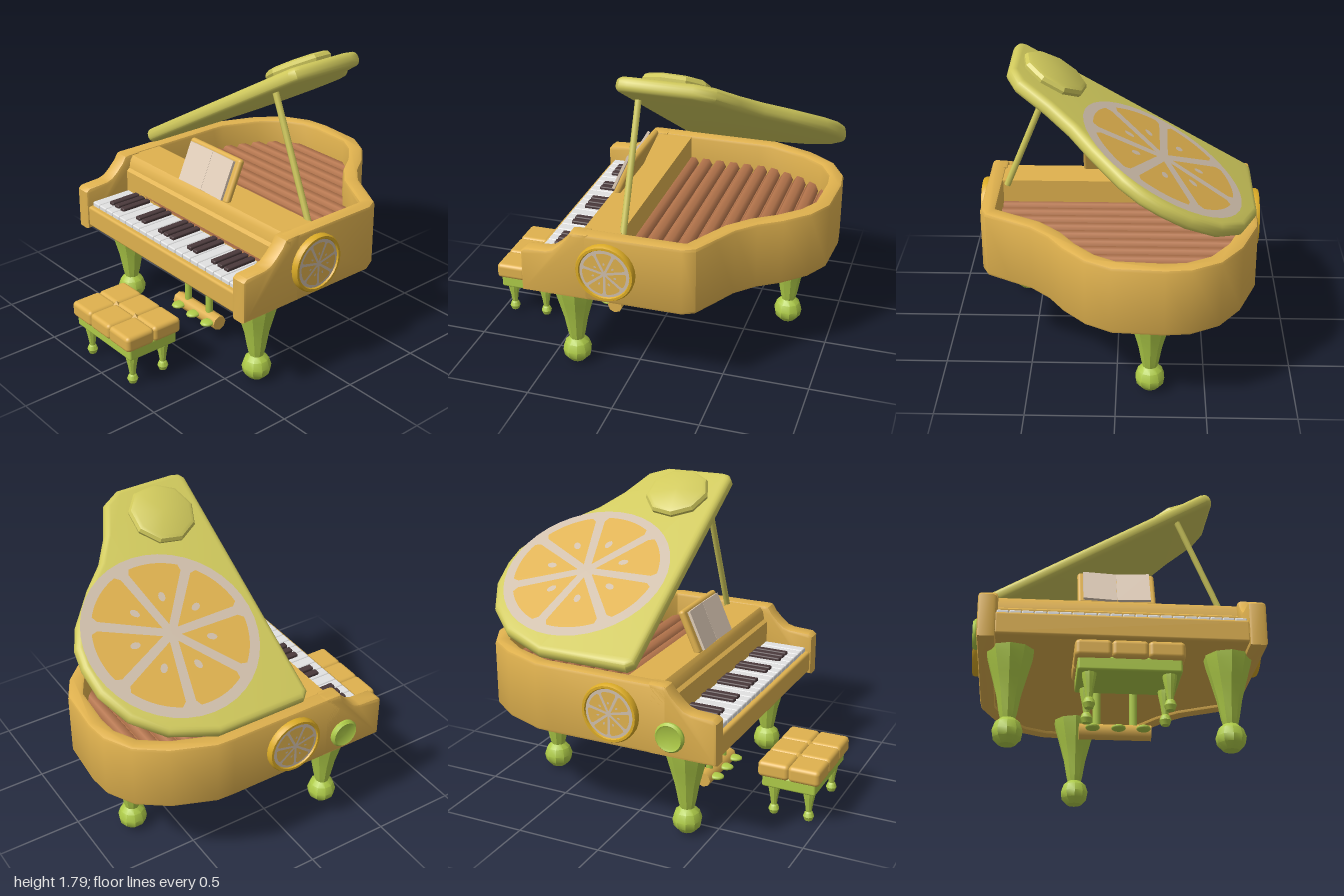
import * as THREE from 'three';
import { toCreasedNormals } from 'three/addons/utils/BufferGeometryUtils.js';
import { RoundedBoxGeometry } from 'three/addons/geometries/RoundedBoxGeometry.js';

const mat = (name, color) => Object.assign(new THREE.MeshStandardMaterial({ color }), { name });
const M = {
  gold: mat('orange gold', 0xdfb14e),
  lime: mat('lime green', 0xaecb48),
  lid: mat('lemon', 0xd0c95c),
  rind: mat('rind yellow', 0xdcac26),
  pith: mat('pith', 0xd0bfab),
  white: mat('ivory white', 0xe2e2e2),
  black: mat('dark brown', 0x4a393b),
  page: mat('paper', 0xe0cdb9),
  slat: mat('slat brown', 0xb5754c),
};

// Case outline as [x, z], from the front of the left side round the tail to the right side
const CASE = [[0.78, 0.3], [0.78, -0.33], [0.745, -0.4], [0.61, -0.475], [0.48, -0.545], [0.375, -0.645],
  [0.29, -0.77], [0.165, -0.9], [0.02, -0.98], [-0.26, -1], [-0.4, -0.985], [-0.56, -0.9],
  [-0.68, -0.74], [-0.775, -0.5], [-0.78, -0.4], [-0.78, 0.3]];
// Lid outline as [distance from hinge, z]
const LID = [[0.04, 0.1], [1.51, 0.1], [1.545, 0.075], [1.555, 0.03], [1.55, -0.33], [1.487, -0.44], [1.3, -0.53],
  [1.15, -0.635], [1.025, -0.767], [0.84, -0.926], [0.72, -0.985], [0.6, -1], [0.436, -0.985], [0.25, -0.9],
  [0.1, -0.74], [0, -0.48], [0, 0.06]];

function inset(pts, d) {
  return pts.map((p, i) => {
    const a = pts[Math.max(i - 1, 0)], b = pts[Math.min(i + 1, pts.length - 1)];
    const tx = b[0] - a[0], tz = b[1] - a[1], l = Math.hypot(tx, tz);
    return [p[0] + (tz / l) * d, p[1] - (tx / l) * d];
  });
}

function add(parent, name, geo, material, x = 0, y = 0, z = 0) {
  const m = new THREE.Mesh(geo, material);
  m.name = name;
  m.position.set(x, y, z);
  parent.add(m);
  return m;
}

function extrude(pts, depth, bevel, segments) {
  const shape = new THREE.Shape(pts.map(([a, b]) => new THREE.Vector2(a, b)));
  const g = new THREE.ExtrudeGeometry(shape, {
    depth: depth - 2 * bevel, bevelEnabled: bevel > 0, bevelThickness: bevel,
    bevelSize: bevel, bevelOffset: -bevel, bevelSegments: segments,
  });
  return toCreasedNormals(g.translate(0, 0, bevel), 0.65);
}
// Plan outline [x, z] raised along y
const slab = (pts, h, bevel = 0, seg = 2) => extrude(pts.map(([x, z]) => [x, -z]), h, bevel, seg).rotateX(-Math.PI / 2);
// Side profile [z, y] stretched along x
const profile = (pts, w, bevel = 0, seg = 2) => extrude(pts.map(([z, y]) => [-z, y]), w, bevel, seg).rotateY(Math.PI / 2);

const lathe = (pts, sides) =>
  toCreasedNormals(new THREE.LatheGeometry(pts.map(([r, y]) => new THREE.Vector2(r, y)), sides), 0.6);

function rod(parent, name, a, b, r, material, sides = 8) {
  const va = new THREE.Vector3(...a), vb = new THREE.Vector3(...b), d = vb.clone().sub(va);
  const m = add(parent, name, new THREE.CylinderGeometry(r, r, d.length(), sides), material);
  m.position.copy(va).add(vb).multiplyScalar(0.5);
  m.quaternion.setFromUnitVectors(new THREE.Vector3(0, 1, 0), d.normalize());
  return m;
}

// Citrus slice of thin plates, facing +z
function slice(r) {
  const g = new THREE.Group();
  g.name = 'citrusSlice';
  add(g, 'pith', new THREE.CircleGeometry(r, 40), M.pith, 0, 0, 0.004);
  const half = Math.PI / 7, w = r * 0.035, ro = r * 0.88;
  const outer = half - Math.asin(w / ro) - 0.03;
  const wedge = new THREE.Shape();
  wedge.moveTo(w / Math.sin(half) + r * 0.03, 0);
  wedge.lineTo(ro * 0.93 * Math.cos(outer), -ro * 0.93 * Math.sin(outer));
  wedge.absarc(0, 0, ro, -outer + 0.05, outer - 0.05, false);
  wedge.lineTo(ro * 0.93 * Math.cos(outer), ro * 0.93 * Math.sin(outer));
  const wedgeGeo = new THREE.ShapeGeometry(wedge, 8);
  const seedGeo = new THREE.CircleGeometry(r * 0.05, 10).scale(1.2, 0.8, 1);
  for (let i = 0; i < 7; i++) {
    const a = Math.PI / 2 + i * half * 2;
    add(g, 'segment', wedgeGeo, M.gold, 0, 0, 0.008).rotation.z = a;
    add(g, 'seed', seedGeo, M.pith, Math.cos(a) * r * 0.45, Math.sin(a) * r * 0.45, 0.012).rotation.z = a;
  }
  return g;
}

export function createModel() {
  const root = new THREE.Group();
  root.name = 'grandPiano';

  // Curved rim, floor and soundboard
  const inner = inset(CASE, 0.09);
  add(root, 'rim', slab([...CASE, ...inner.slice().reverse()], 0.405, 0.02, 2), M.gold, 0, 0.53, 0);
  const floor = inset(CASE, 0.05);
  add(root, 'floor', slab(floor, 0.05), M.gold, 0, 0.55, 0);
  add(root, 'soundboard', slab(floor, 0.02), M.slat, 0, 0.71, 0);

  // Slats across the case, cut to the curve of the rim
  const crossing = (pts, z) => {
    for (let i = 1; i < pts.length; i++) {
      const [a, b] = [pts[i - 1], pts[i]];
      if ((a[1] - z) * (b[1] - z) <= 0) return a[0] + ((b[0] - a[0]) * (z - a[1])) / (b[1] - a[1] || 1);
    }
    return 0;
  };
  const back = floor.slice().reverse();
  for (let z = -0.87; z < 0.05; z += 0.09) {
    rod(root, 'slat', [crossing(back, z), 0.75, z], [crossing(floor, z), 0.75, z], 0.042, M.slat, 6);
  }

  // Stepped cheeks
  const cheek = [[0.2, 0.53], [0.6, 0.53], [0.6, 0.775], [0.575, 0.795], [0.45, 0.802], [0.41, 0.815],
    [0.374, 0.845], [0.33, 0.89], [0.305, 0.93], [0.28, 0.935], [0.2, 0.935]];
  for (const x of [-0.78, 0.68]) add(root, 'cheek', profile(cheek, 0.1, 0.018), M.gold, x, 0, 0);

  // Fallboard and key bed
  const fall = [[0.04, 0.58], [0.3, 0.58], [0.3, 0.835], [0.28, 0.85], [0.27, 0.9], [0.25, 0.925], [0.04, 0.925]];
  add(root, 'fallboard', profile(fall, 1.39), M.gold, -0.695, 0, 0);
  add(root, 'keyBed', new RoundedBoxGeometry(1.38, 0.13, 0.54, 2, 0.015), M.gold, 0, 0.615, 0.32);

  // Keyboard
  const whiteGeo = new RoundedBoxGeometry(0.0665, 0.035, 0.27, 2, 0.008);
  for (let i = 0; i < 20; i++) add(root, 'whiteKey', whiteGeo, M.white, -0.646 + i * 0.068, 0.688, 0.425);
  const blackGeo = new RoundedBoxGeometry(0.04, 0.035, 0.2, 2, 0.008);
  for (const x of [-0.57, -0.515, -0.46, -0.3, -0.245, -0.085, -0.03, 0.025, 0.185, 0.24, 0.4, 0.455, 0.51]) {
    add(root, 'blackKey', blackGeo, M.black, x, 0.706, 0.4);
  }

  // Music desk with open book
  const desk = new THREE.Group();
  desk.name = 'musicDesk';
  desk.position.set(-0.005, 0.91, 0.235);
  desk.rotation.x = -0.42;
  root.add(desk);
  add(desk, 'deskBoard', new RoundedBoxGeometry(0.45, 0.27, 0.04, 3, 0.018), M.gold, 0, 0.135, 0);
  for (const s of [-1, 1]) {
    add(desk, 'bookPage', new THREE.BoxGeometry(0.192, 0.235, 0.016), M.page, s * 0.097, 0.13, 0.028).rotation.y = -s * 0.06;
  }

  // Raised lid with slice and round cap
  const lid = new THREE.Group();
  lid.name = 'lid';
  lid.position.set(-0.735, 0.94, 0);
  lid.rotation.z = Math.PI / 6;
  root.add(lid);
  add(lid, 'lidPanel', slab(LID, 0.085, 0.035, 4), M.lid);
  const big = slice(0.497);
  big.position.set(0.612, 0.085, -0.463);
  big.rotation.x = -Math.PI / 2;
  lid.add(big);
  add(lid, 'lidCap', lathe([[0.19, 0], [0.196, 0.02], [0.185, 0.04], [0.165, 0.05], [0, 0.052]], 9), M.lid, 1.31, 0.084, -0.165);
  rod(root, 'lidProp', [0.665, 0.9, 0.035], [0.375, 1.6, 0.035], 0.019, M.lid);

  // Slices on both sides, plus a small lime disc
  for (const [s, z] of [[1, 0.095], [-1, -0.02]]) {
    const g = new THREE.Group();
    g.name = 'sideSlice';
    g.position.set(s * 0.775, 0.733, z);
    g.rotation.y = (s * Math.PI) / 2;
    root.add(g);
    add(g, 'rind', lathe([[0.168, 0], [0.17, 0.028], [0.162, 0.043], [0.148, 0.043], [0.142, 0.03], [0, 0.03]], 28).rotateX(Math.PI / 2), M.rind);
    const face = slice(0.143);
    face.position.z = 0.03;
    g.add(face);
  }
  add(root, 'limeDisc', lathe([[0.084, 0], [0.086, 0.02], [0.075, 0.034], [0.062, 0.028], [0, 0.028]], 20).rotateZ(Math.PI / 2), M.lime, -0.775, 0.655, 0.333);

  // Piano legs with ball feet
  const legGeo = lathe([[0, 0.005], [0.045, 0.015], [0.078, 0.05], [0.085, 0.09], [0.07, 0.135], [0.042, 0.16],
    [0.052, 0.2], [0.07, 0.3], [0.1, 0.41], [0.128, 0.51], [0.137, 0.56], [0, 0.56]], 10);
  for (const [x, z] of [[-0.6, 0.35], [0.6, 0.35], [-0.19, -0.73]]) add(root, 'pianoLeg', legGeo, M.lime, x, 0, z);

  // Pedal bar
  for (const x of [-0.12, 0.08]) rod(root, 'pedalRod', [x, 0.13, 0.27], [x, 0.57, 0.27], 0.022, M.lime);
  rod(root, 'pedalBar', [-0.215, 0.13, 0.27], [0.175, 0.13, 0.27], 0.045, M.gold);
  const pedalGeo = new THREE.SphereGeometry(0.04, 12, 8).scale(1, 0.42, 1.2);
  for (const x of [-0.145, -0.005, 0.13]) add(root, 'pedal', pedalGeo, M.lime, x, 0.135, 0.325);

  // Tufted bench
  const bench = new THREE.Group();
  bench.name = 'bench';
  bench.position.set(0, 0, 0.815);
  root.add(bench);
  add(bench, 'benchFrame', new RoundedBoxGeometry(0.52, 0.075, 0.32, 2, 0.012), M.lime, 0, 0.235, 0);
  const cushion = new RoundedBoxGeometry(0.187, 0.095, 0.187, 4, 0.025);
  for (const x of [-0.182, 0, 0.182]) for (const z of [-0.091, 0.091]) add(bench, 'cushion', cushion, M.gold, x, 0.308, z);
  const button = new THREE.OctahedronGeometry(0.024);
  for (const x of [-0.091, 0.091]) add(bench, 'button', button, M.gold, x, 0.345, 0);
  const footGeo = lathe([[0, 0.008], [0.022, 0.015], [0.032, 0.04], [0.024, 0.062], [0.017, 0.07], [0.024, 0.12],
    [0.036, 0.18], [0.038, 0.21], [0, 0.21]], 10);
  for (const x of [-0.2, 0.2]) for (const z of [-0.103, 0.108]) add(bench, 'benchLeg', footGeo, M.lime, x, 0, z);

  return root;
}
